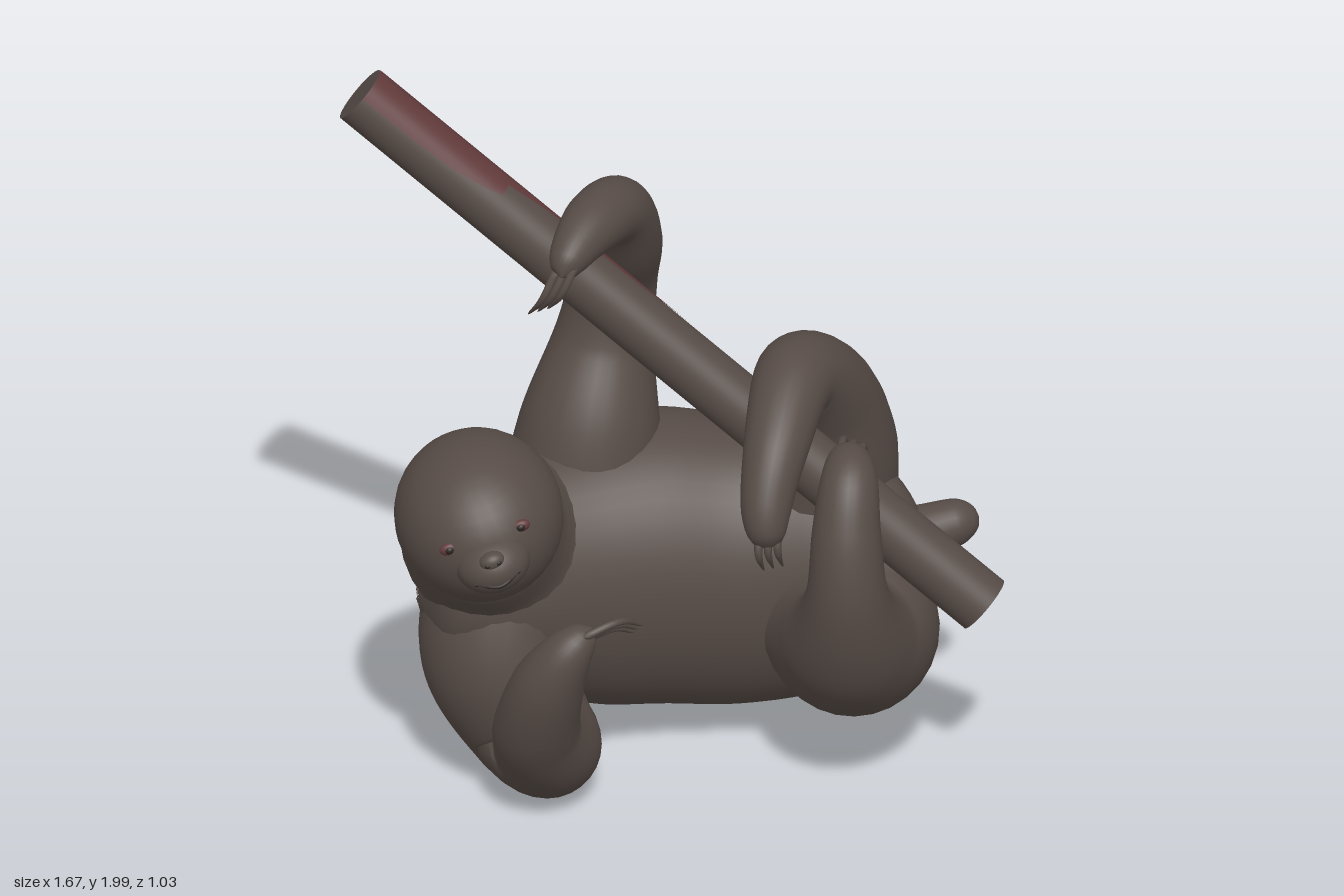
import * as THREE from 'three';
import { mergeVertices } from 'three/addons/utils/BufferGeometryUtils.js';

const material = (name, color) => {
  const m = new THREE.MeshStandardMaterial({ color });
  m.name = name;
  return m;
};
const V = (a) => new THREE.Vector3(a[0], a[1], a[2]);

// Drop seams so that normals are smooth all round
function smooth(geo) {
  geo.deleteAttribute('uv');
  geo.deleteAttribute('normal');
  const g = mergeVertices(geo, 1e-6);
  g.computeVertexNormals();
  return g;
}

// Catmull-Rom value of column k of a table at t in 0..1
function column(rows, k, t) {
  const pts = rows.map((r, i) => new THREE.Vector2(i, r[k]));
  return new THREE.SplineCurve(pts).getPoint(t).y;
}

// Tapered tube through points [x, y, z, radius] with a rounded tip
function limbGeometry(points, steps = 64, sides = 28) {
  const curve = new THREE.CatmullRomCurve3(points.map(V));
  const geo = new THREE.TubeGeometry(curve, steps, 1, sides, false);
  const pos = geo.attributes.position;
  const length = curve.getLength();
  const p = new THREE.Vector3();
  for (let i = 0; i <= steps; i++) {
    const u = i / steps;
    const centre = curve.getPointAt(u);
    let r = column(points, 3, curve.getUtoTmapping(u));
    const round = (d, cap) => (d < cap ? Math.sqrt(Math.max(0, 1 - (1 - d / cap) ** 2)) : 1);
    r *= round(u * length, r * 0.4) * round((1 - u) * length, r);
    r = Math.max(r, 0.0005);
    for (let j = 0; j <= sides; j++) {
      const n = i * (sides + 1) + j;
      p.fromBufferAttribute(pos, n).sub(centre).multiplyScalar(r).add(centre);
      pos.setXYZ(n, p.x, p.y, p.z);
    }
  }
  return smooth(geo);
}

// Closed body along x from rows [x, bottom, top, back, front]
function torsoGeometry(rows) {
  const geo = new THREE.SphereGeometry(1, 48, 40).rotateZ(-Math.PI / 2);
  const pos = geo.attributes.position;
  for (let i = 0; i < pos.count; i++) {
    const t = Math.acos(THREE.MathUtils.clamp(-pos.getX(i), -1, 1)) / Math.PI;
    const [x, b, h, k, f] = [0, 1, 2, 3, 4].map((c) => column(rows, c, t));
    const len = Math.hypot(pos.getY(i), pos.getZ(i)) || 1;
    pos.setXYZ(i, x, (b + h) / 2 + ((h - b) / 2) * pos.getY(i) / len,
      (k + f) / 2 + ((f - k) / 2) * pos.getZ(i) / len);
  }
  return smooth(geo);
}

export function createModel() {
  const model = new THREE.Group();
  const brown = material('darkBrown', 0x564b46);
  const red = material('redBark', 0x613a3b);
  const dark = material('darkFeature', 0x2c2523);

  const add = (name, geo, mat = brown, parent = model) => {
    const mesh = new THREE.Mesh(geo, mat);
    mesh.name = name;
    parent.add(mesh);
    return mesh;
  };
  const limb = (name, points) => add(name, limbGeometry(points));
  // Three curved claws, spread along a step vector
  const claws = (name, points, step) => {
    const group = new THREE.Group();
    group.name = name;
    for (const k of [-1, 0, 1]) {
      const radii = [0.011, 0.01, 0.003];
      const pts = points.map((p, i) => [...p.map((c, a) => c + k * step[a]), radii[i]]);
      add('claw', limbGeometry(pts, 14, 8), brown, group);
    }
    model.add(group);
  };

  // Branch, with y along its length and z towards the red bark
  const top = V([-0.785, 1.94, -0.19]);
  const bottom = V([0.775, 0.6, 0.35]);
  const axis = top.clone().sub(bottom);
  const length = axis.length();
  axis.normalize();
  const face = V([0.5, 0.8, -0.05]);
  face.addScaledVector(axis, -face.dot(axis)).normalize();
  const branch = new THREE.Group();
  branch.name = 'branch';
  branch.quaternion.setFromRotationMatrix(
    new THREE.Matrix4().makeBasis(axis.clone().cross(face), axis, face));
  branch.position.copy(top).add(bottom).multiplyScalar(0.5);
  add('branchWood', new THREE.CylinderGeometry(0.08, 0.08, length, 40), brown, branch);
  // Red patches: thin sheets bent round the wood, [start, end, half angle, turn]
  const patch = (from, to, half, turn, shape) => {
    const geo = new THREE.PlaneGeometry(1, 1, 20, 16);
    const pos = geo.attributes.position;
    for (let i = 0; i < pos.count; i++) {
      const v = 0.5 - pos.getY(i);
      const a = turn + pos.getX(i) * 2 * half * shape(v);
      pos.setXYZ(i, 0.082 * Math.sin(a), length * (0.5 - from - v * (to - from)), 0.082 * Math.cos(a));
    }
    geo.computeVertexNormals();
    add('redPatch', geo, red, branch);
  };
  patch(0, 0.21, 1.35, 0, (v) => 1 - 0.35 * v ** 4);
  patch(0.2, 0.5, 0.8, 0.35, (v) => Math.sqrt(1 - v) * (0.8 + 0.2 * Math.cos(v * 9)));
  model.add(branch);

  // Body, neck and tail
  add('body', torsoGeometry([
    [-0.66, 0.52, 0.53, -0.04, -0.03],
    [-0.6, 0.36, 0.76, -0.25, 0.14],
    [-0.43, 0.24, 0.86, -0.41, 0.18],
    [-0.2, 0.13, 0.9, -0.49, 0.14],
    [0, 0.1, 0.91, -0.52, 0.12],
    [0.2, 0.09, 0.88, -0.49, 0.12],
    [0.4, 0.15, 0.86, -0.4, 0.17],
    [0.55, 0.27, 0.82, -0.29, 0.2],
    [0.645, 0.39, 0.72, -0.13, 0.17],
    [0.685, 0.54, 0.55, 0.03, 0.04],
  ]));
  limb('neck', [[-0.28, 0.55, -0.14, 0.24], [-0.43, 0.66, -0.06, 0.25],
    [-0.49, 0.75, 0.04, 0.225], [-0.52, 0.85, 0.18, 0.19], [-0.52, 0.87, 0.3, 0.12]]);
  limb('tail', [[0.52, 0.6, 0.04, 0.1], [0.66, 0.64, 0.02, 0.075], [0.75, 0.66, 0.01, 0.062], [0.81, 0.67, 0.01, 0.05]]);

  // Arm reaching up and over the branch
  limb('rightArm', [[-0.2, 0.62, -0.22, 0.22], [-0.175, 0.9, -0.23, 0.185], [-0.13, 1.13, -0.28, 0.13],
    [-0.105, 1.31, -0.27, 0.112], [-0.1, 1.49, -0.14, 0.1], [-0.14, 1.64, -0.02, 0.09],
    [-0.22, 1.665, 0.1, 0.08], [-0.29, 1.635, 0.2, 0.055], [-0.32, 1.6, 0.25, 0.035]]);
  claws('rightHandClaws', [[-0.3, 1.62, 0.22], [-0.34, 1.54, 0.235], [-0.37, 1.46, 0.17]], [0.022, 0.018, 0.022]);

  // Free arm, folded at the elbow
  limb('leftArm', [[-0.42, 0.6, -0.05, 0.2], [-0.455, 0.38, 0.02, 0.2], [-0.375, 0.18, 0.06, 0.165],
    [-0.345, 0.17, 0.16, 0.145], [-0.39, 0.3, 0.3, 0.115], [-0.37, 0.47, 0.38, 0.095],
    [-0.32, 0.58, 0.41, 0.065], [-0.26, 0.64, 0.4, 0.035]]);
  claws('leftHandClaws', [[-0.3, 0.61, 0.42], [-0.2, 0.635, 0.39], [-0.125, 0.575, 0.31]], [0.008, 0.022, 0.022]);

  // Hind legs hooked round the branch
  limb('rightLeg', [[0.4, 0.6, -0.12, 0.2], [0.42, 0.86, -0.09, 0.19], [0.39, 1.07, 0, 0.145],
    [0.31, 1.19, 0.14, 0.11], [0.23, 1.1, 0.34, 0.085], [0.19, 0.97, 0.44, 0.065], [0.19, 0.88, 0.48, 0.045]]);
  claws('rightFootClaws', [[0.19, 0.92, 0.47], [0.19, 0.87, 0.485], [0.21, 0.8, 0.44]], [0.025, 0.004, 0]);
  limb('leftLeg', [[0.44, 0.46, -0.08, 0.2], [0.46, 0.43, 0.12, 0.23], [0.43, 0.5, 0.29, 0.175],
    [0.41, 0.68, 0.395, 0.11], [0.41, 0.86, 0.38, 0.09], [0.425, 0.98, 0.32, 0.075], [0.44, 1.01, 0.21, 0.05]]);
  claws('leftFootClaws', [[0.435, 1.01, 0.25], [0.46, 1.0, 0.16], [0.475, 0.92, 0.13]], [0.025, -0.01, 0.004]);

  // Head, tilted sideways, with its face
  const head = new THREE.Group();
  head.name = 'head';
  head.position.set(-0.52, 0.852, 0.14);
  head.rotation.z = 0.28;
  model.add(head);
  const ball = (name, at, size, mat = brown) => {
    const mesh = add(name, new THREE.SphereGeometry(1, 32, 24), mat, head);
    mesh.position.set(...at);
    mesh.scale.set(...size);
  };
  ball('skull', [0, 0, 0], [0.22, 0.216, 0.26]);
  ball('muzzle', [0, -0.02, 0.21], [0.1, 0.08, 0.105]);
  ball('nose', [0, 0.022, 0.285], [0.034, 0.024, 0.026]);
  for (const s of [-1, 1]) {
    ball('eyelid', [s * 0.097, 0.055, 0.216], [0.026, 0.017, 0.014], red);
    ball('eye', [s * 0.097, 0.055, 0.223], [0.013, 0.011, 0.011], dark);
    ball('nostril', [s * 0.015, 0.02, 0.306], [0.007, 0.006, 0.005], dark);
  }
  const smile = new THREE.CatmullRomCurve3([[-0.06, -0.03, 0.289], [0, -0.045, 0.311], [0.06, -0.03, 0.289]].map(V));
  add('mouth', new THREE.TubeGeometry(smile, 16, 0.005, 8), dark, head);

  return model;
}
